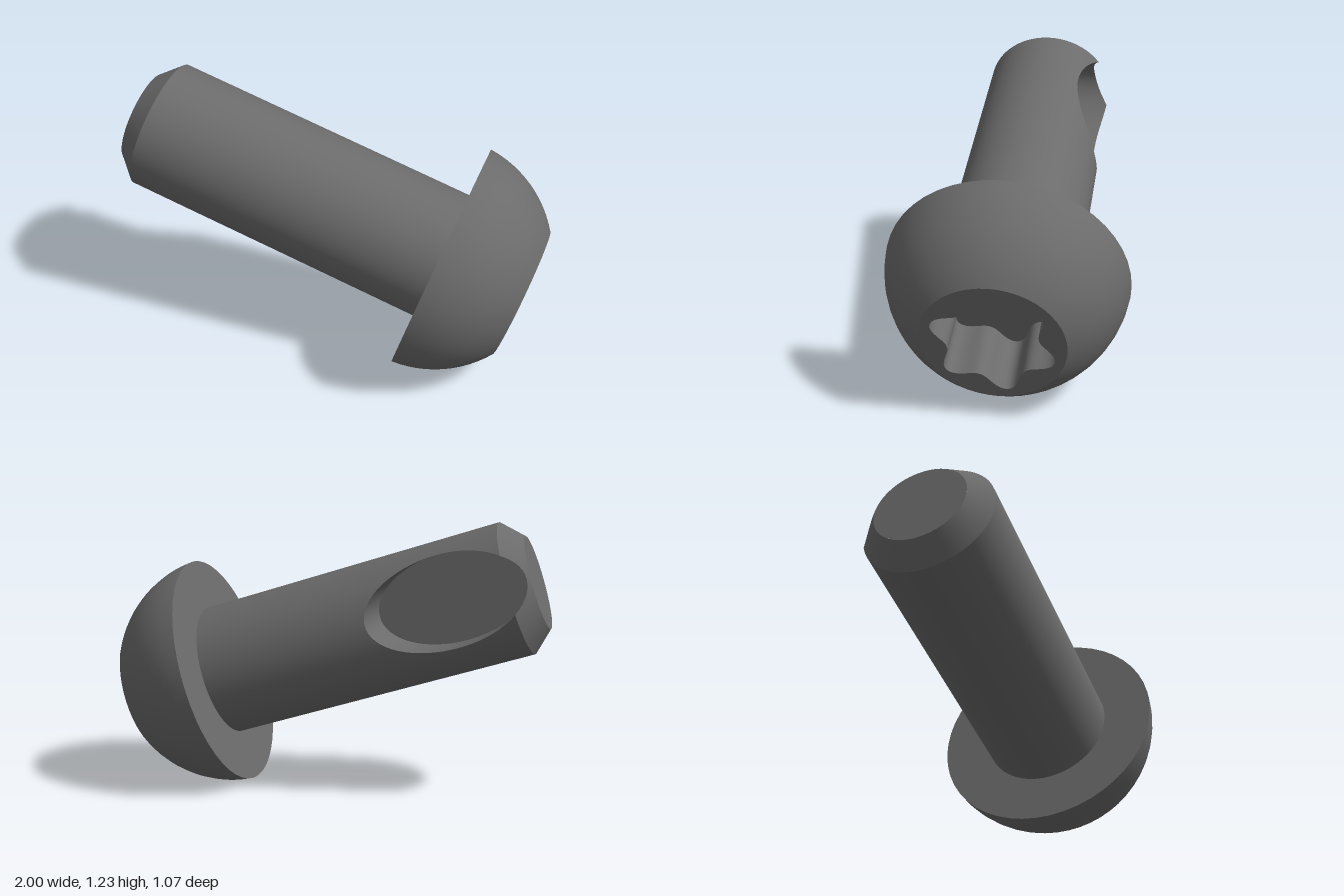
import * as THREE from 'three';
import { toCreasedNormals } from 'three/addons/utils/BufferGeometryUtils.js';

// Local frame: x runs along the screw from tip to head, y up, pocket on -z.
const TIP_R = 0.212, R = 0.303, CHAMFER = 0.094, LENGTH = 1.532;
const HEAD_R = 0.534, FACE_R = 0.307, HEAD_END = 1.93, SOCKET_DEPTH = 0.28;
const POCKET = { t: 0.375, y: 0.04, a: 0.36, b: 0.205 };

// Surface grid; fn(i, j) returns a position and a normal
function grid(rows, cols, fn) {
  const pos = [], nor = [], idx = [];
  for (let i = 0; i <= rows; i++) {
    for (let j = 0; j <= cols; j++) {
      const [p, n] = fn(i, j);
      pos.push(...p);
      nor.push(...new THREE.Vector3(...n).normalize().toArray());
      if (i < rows && j < cols) {
        const a = i * (cols + 1) + j, b = a + cols + 1;
        idx.push(a, a + 1, b, a + 1, b + 1, b);
      }
    }
  }
  const g = new THREE.BufferGeometry();
  g.setAttribute('position', new THREE.Float32BufferAttribute(pos, 3));
  g.setAttribute('normal', new THREE.Float32BufferAttribute(nor, 3));
  g.setIndex(idx);
  return g;
}

const radiusAt = t => (t < CHAMFER ? TIP_R + (R - TIP_R) * t / CHAMFER : R);

// Shaft skin: each ring is an arc that stops at the two edges of the pocket
function shaftSkin(stations, slope) {
  const cols = 64;
  return grid(stations.length - 1, cols, (i, j) => {
    const t = stations[i], r = radiusAt(t);
    const half = POCKET.b * Math.sqrt(Math.max(0, 1 - ((t - POCKET.t) / POCKET.a) ** 2));
    const start = Math.asin((POCKET.y + half) / r);
    const end = 2 * Math.PI + Math.asin((POCKET.y - half) / r);
    const b = start + (end - start) * j / cols;
    const s = Math.sin(b), c = -Math.cos(b);
    return [[t, r * s, r * c], [-slope, s, c]];
  });
}

// Six-lobed outline of the drive socket
function lobePoints() {
  const pts = [], n = 96, turn = 100.7 * Math.PI / 180;
  for (let i = 0; i < n; i++) {
    const a = i / n * Math.PI * 2;
    const r = 0.195 + 0.073 * Math.pow((1 + Math.cos(6 * a)) / 2, 1.2);
    pts.push(new THREE.Vector2(r * Math.cos(a + turn), r * Math.sin(a + turn)));
  }
  return pts;
}

export function createModel() {
  const steel = new THREE.MeshStandardMaterial({ color: 0x6b6b6b });
  steel.name = 'dark steel';
  const screw = new THREE.Group();
  screw.name = 'screw';
  const add = (name, geometry) => {
    const m = new THREE.Mesh(geometry, steel);
    m.name = name;
    screw.add(m);
  };

  // Shaft with chamfered tip
  const n = 32;
  const cuts = [];
  for (let k = 0; k <= n; k++) cuts.push(POCKET.t - POCKET.a * Math.cos(Math.PI * k / n));
  add('tipChamfer', shaftSkin([0, ...cuts.filter(t => t < CHAMFER), CHAMFER], (R - TIP_R) / CHAMFER));
  add('shaft', shaftSkin([CHAMFER, ...cuts.filter(t => t > CHAMFER), LENGTH], 0));
  add('tipFace', new THREE.CircleGeometry(TIP_R, 64).rotateY(-Math.PI / 2));

  // Oval pocket in the back of the shaft
  add('pocketWall', grid(2 * n, 1, (i, j) => {
    const a = Math.PI * i / n, c = Math.cos(a), s = Math.sin(a);
    const t = POCKET.t + POCKET.a * c, y = POCKET.y + POCKET.b * s;
    const z = j ? 0 : -Math.sqrt(radiusAt(t) ** 2 - y * y);
    return [[t, y, z], [-c / POCKET.a, -s / POCKET.b, 0]];
  }));
  const floor = new THREE.CircleGeometry(1, 2 * n).scale(POCKET.a, POCKET.b, 1);
  add('pocketFloor', floor.rotateY(Math.PI).translate(POCKET.t, POCKET.y, 0));

  // Domed head: a slice of a sphere
  const centre = LENGTH - 0.039, profile = [];
  const a0 = Math.asin(0.039 / HEAD_R), a1 = Math.acos(FACE_R / HEAD_R);
  for (let i = 0; i <= 12; i++) {
    const a = a0 + (a1 - a0) * i / 12;
    profile.push(new THREE.Vector2(HEAD_R * Math.cos(a), centre + HEAD_R * Math.sin(a)));
  }
  add('headDome', new THREE.LatheGeometry(profile, 48).rotateZ(-Math.PI / 2));
  add('headUnderside', new THREE.RingGeometry(R - 0.01, profile[0].x, 48)
    .rotateY(-Math.PI / 2).translate(LENGTH, 0, 0));

  // Flat head face with the lobed socket
  const lobes = lobePoints();
  const face = new THREE.Shape().absarc(0, 0, FACE_R, 0, Math.PI * 2);
  face.holes.push(new THREE.Path(lobes));
  const block = new THREE.ExtrudeGeometry(face, { depth: SOCKET_DEPTH, bevelEnabled: false, curveSegments: 24 });
  add('headFaceAndSocketWall', toCreasedNormals(block, 0.6)
    .rotateY(Math.PI / 2).translate(profile[12].y - SOCKET_DEPTH, 0, 0));
  add('socketFloor', new THREE.ShapeGeometry(new THREE.Shape(lobes))
    .rotateY(Math.PI / 2).translate(profile[12].y - SOCKET_DEPTH + 0.002, 0, 0));

  // Lean the screw so it rests on the rim of its head
  screw.rotation.z = -17.1 * Math.PI / 180;
  screw.position.set(-0.9375, 0.977, 0);
  const model = new THREE.Group();
  model.name = 'leaningScrew';
  model.add(screw);
  return model;
}
